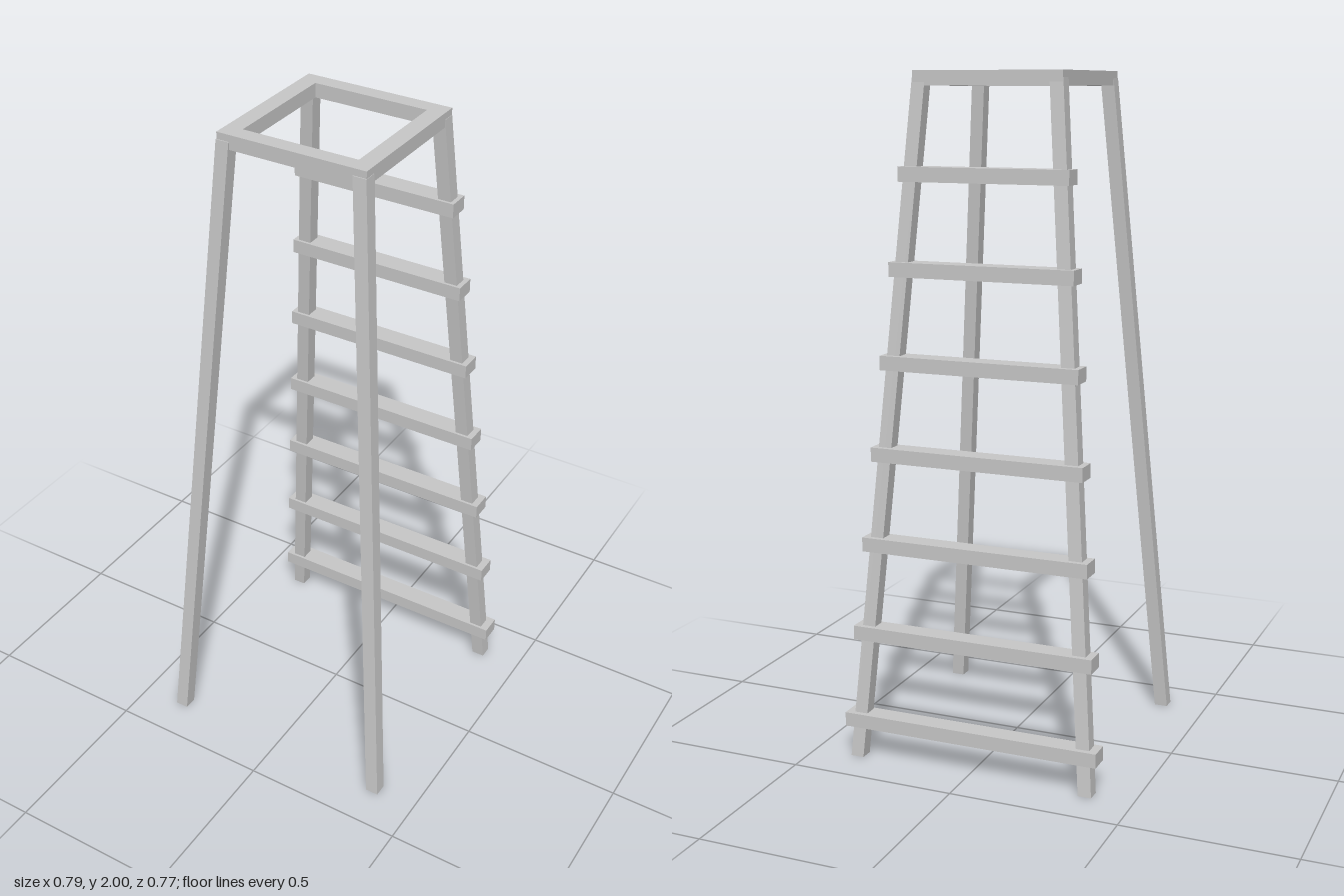
import * as THREE from 'three';

const LEG = 0.04;
const SHIFT_Z = 0.003; // the stand sits slightly forward, as the rungs stick out at the back
// distance of the leg centreline from the stand's axis at height y
const spread = (y) => 0.36 - 0.078 * y;

export function createModel() {
  const group = new THREE.Group();
  const grey = new THREE.MeshStandardMaterial({ color: 0xc8c8c8 });
  grey.name = 'lightGrey';

  const add = (name, geometry, y = 0, z = SHIFT_Z) => {
    const mesh = new THREE.Mesh(geometry, grey);
    mesh.name = name;
    mesh.position.set(0, y, z);
    group.add(mesh);
  };

  // Splayed legs: upright bars sheared outwards, ends kept level
  const legTop = 1.98;
  for (const [sx, sz, name] of [
    [1, 1, 'frontLeftLeg'], [-1, 1, 'frontRightLeg'],
    [1, -1, 'backLeftLeg'], [-1, -1, 'backRightLeg'],
  ]) {
    const geo = new THREE.BoxGeometry(LEG, legTop, LEG).translate(0, legTop / 2, 0);
    const p = geo.attributes.position;
    for (let i = 0; i < p.count; i++) {
      const d = spread(p.getY(i));
      p.setX(i, p.getX(i) + sx * d);
      p.setZ(i, p.getZ(i) + sz * d);
    }
    geo.computeVertexNormals();
    add(name, geo);
  }

  // Open square frame on top
  const outer = 0.2245, innerX = 0.174, innerZ = 0.177, frameHeight = 0.042;
  const rect = (Ctor, x, y) => new Ctor([
    new THREE.Vector2(-x, -y), new THREE.Vector2(x, -y),
    new THREE.Vector2(x, y), new THREE.Vector2(-x, y),
  ]);
  const shape = rect(THREE.Shape, outer, outer);
  shape.holes.push(rect(THREE.Path, innerX, innerZ));
  const frame = new THREE.ExtrudeGeometry(shape, { depth: frameHeight, bevelEnabled: false });
  frame.rotateX(-Math.PI / 2);
  add('topFrame', frame, 2 - frameHeight, 0.001);

  // Ladder rungs across the back legs, shorter towards the top
  for (let i = 0; i < 7; i++) {
    const halfLength = 0.394 - 0.0228 * i;
    const y = 0.115 + 0.2667 * i;
    add('rung' + (i + 1), new THREE.BoxGeometry(halfLength * 2, 0.042, 0.064), y, 0.001 - spread(y));
  }

  return group;
}
